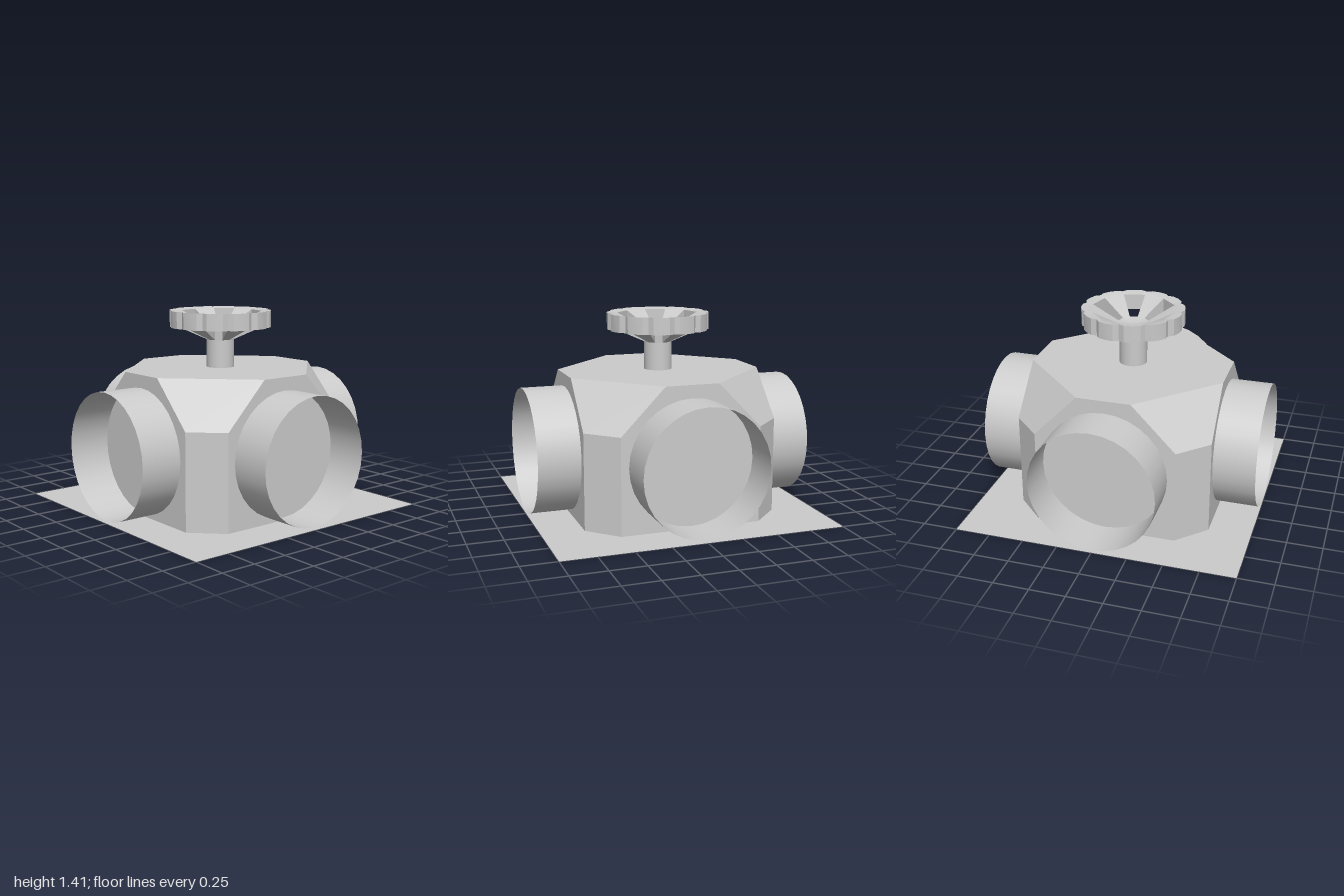
import * as THREE from 'three';
import { toCreasedNormals } from 'three/addons/utils/BufferGeometryUtils.js';

const smooth = new THREE.MeshStandardMaterial({ color: 0xcccccc, side: THREE.DoubleSide });
const flat = new THREE.MeshStandardMaterial({ color: 0xcccccc, side: THREE.DoubleSide, flatShading: true });

function mesh(name, geometry, material) {
  const m = new THREE.Mesh(geometry, material);
  m.name = name;
  return m;
}

// Collects quads (corners counter-clockwise) into a triangle soup
function quadSoup() {
  const pos = [];
  return {
    quad(a, b, c, d) {
      pos.push(...a, ...b, ...c);
      if (Math.hypot(a[0] - d[0], a[1] - d[1], a[2] - d[2]) > 1e-6) pos.push(...a, ...c, ...d);
    },
    build() {
      const g = new THREE.BufferGeometry();
      g.setAttribute('position', new THREE.Float32BufferAttribute(pos, 3));
      g.computeVertexNormals();
      return g;
    },
  };
}

// Octagon with flats at distance h and flat half-width w, counter-clockwise from above
function octagon(h, w) {
  return [[h, -w], [h, w], [w, h], [-w, h], [-h, w], [-h, -w], [-w, -h], [w, -h]];
}

// Chamfered chamber, open underneath: three octagon sections and a flat roof
function bodyGeometry() {
  const soup = quadSoup();
  const rings = [[0, 0.5], [0.68, 0.5], [1, 0.19]].map(([y, w]) =>
    octagon(0.7, w).map(([x, v]) => [x, y, -v]));
  for (let k = 0; k < 2; k++) {
    for (let i = 0; i < 8; i++) {
      const j = (i + 1) % 8;
      soup.quad(rings[k][i], rings[k][j], rings[k + 1][j], rings[k + 1][i]);
    }
  }
  const roof = rings[2];
  for (let i = 1; i < 7; i += 2) soup.quad(roof[0], roof[i], roof[i + 1], roof[Math.min(i + 2, 7)]);
  return soup.build();
}

// Dished handwheel: scalloped rim, six spokes and six windows
function wheelGeometry() {
  const soup = quadSoup();
  const steps = [0, 6, 15, 24, 30];
  const lobe = [0.345, 0.365, 0.368, 0.365, 0.345];
  const section = {
    centre: [0, 1.28], hubTop: [0.11, 1.3], rimInTop: [0.3, 1.4], rimTop: [null, 1.41],
    rimBottom: [null, 1.29], rimInBottom: [0.3, 1.29], hubBottom: [0.1, 1.2],
  };
  const solid = ['centre', 'hubTop', 'rimInTop', 'rimTop', 'rimBottom', 'rimInBottom', 'hubBottom'];
  const hub = ['centre', 'hubTop', 'hubBottom'];
  const rim = ['rimInTop', 'rimTop', 'rimBottom', 'rimInBottom', 'rimInTop'];
  const rad = THREE.MathUtils.degToRad;

  for (let s = 0; s < 12; s++) {
    const point = (key, i) => {
      const [r0, y] = section[key];
      const r = r0 === null ? lobe[i] : r0 * Math.cos(rad(15)) / Math.cos(rad(steps[i] - 15));
      const a = rad(s * 30 + steps[i]);
      return [r * Math.cos(a), y, -r * Math.sin(a)];
    };
    const isWindow = s % 2 === 0;
    for (const path of isWindow ? [hub, rim] : [solid]) {
      for (let p = 0; p < path.length - 1; p++) {
        for (let i = 0; i < 4; i++) {
          soup.quad(point(path[p], i), point(path[p + 1], i), point(path[p + 1], i + 1), point(path[p], i + 1));
        }
      }
    }
    // Radial side walls of the window
    if (isWindow) {
      const edge = ['hubTop', 'rimInTop', 'rimInBottom', 'hubBottom'];
      soup.quad(...edge.map((k) => point(k, 0)));
      soup.quad(...edge.map((k) => point(k, 4)).reverse());
    }
  }
  return toCreasedNormals(soup.build(), 0.5);
}

export function createModel() {
  const model = new THREE.Group();
  model.name = 'valveChamber';

  // Ground plate with an opening under the chamber
  const plate = new THREE.Shape([[-1, -1], [1, -1], [1, 1], [-1, 1]].map((p) => new THREE.Vector2(...p)));
  plate.holes.push(new THREE.Path(octagon(0.7, 0.5).reverse().map((p) => new THREE.Vector2(...p))));
  model.add(mesh('basePlate', new THREE.ShapeGeometry(plate).rotateX(-Math.PI / 2), flat));

  model.add(mesh('body', bodyGeometry(), flat));

  // Four open pipe stubs, one per side
  const pipe = new THREE.CylinderGeometry(0.445, 0.445, 0.3, 32, 1, true)
    .rotateX(Math.PI / 2).translate(0, 0.465, 0.85);
  ['front', 'left', 'back', 'right'].forEach((side, i) => {
    const stub = mesh(side + 'Pipe', pipe, smooth);
    stub.rotation.y = i * Math.PI / 2;
    model.add(stub);
  });

  // Valve stem and handwheel
  const stem = new THREE.CylinderGeometry(0.1, 0.1, 0.2, 32, 1, true).translate(0, 1.1, 0);
  model.add(mesh('stem', stem, smooth));
  model.add(mesh('handwheel', wheelGeometry(), smooth));

  return model;
}
